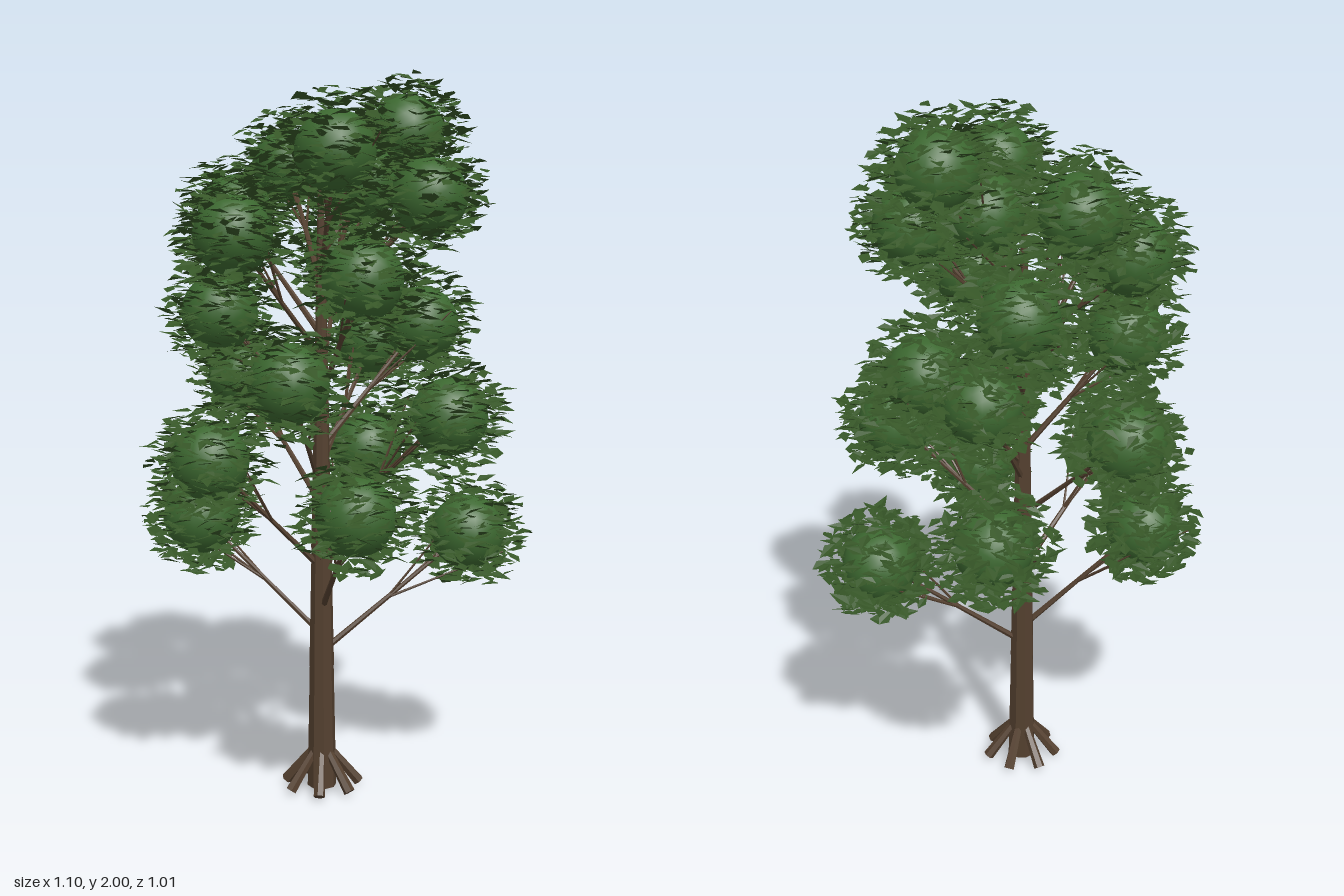
import * as THREE from 'three';

let seed = 7;
const rand = () => {
  seed = (seed * 1664525 + 1013904223) % 4294967296;
  return seed / 4294967296;
};
const spread = (a) => (rand() * 2 - 1) * a;
const V = (x, y, z) => new THREE.Vector3(x, y, z);

const bark = new THREE.MeshStandardMaterial({ color: 0x54402f, flatShading: true });
const leafGreen = new THREE.MeshStandardMaterial({ color: 0x365627, side: THREE.DoubleSide });
const coreGreen = new THREE.MeshStandardMaterial({ color: 0x3c6830 });

const TRUNK_X = -0.04, TRUNK_Z = 0.01;

// Centre of each leaf ball: x, y, z
const CLUSTERS = [
  [0.375, 0.73, 0.01], [-0.365, 0.78, -0.09], [0.0, 0.85, 0.33],
  [0.15, 0.92, -0.33], [-0.355, 0.97, 0.13], [0.28, 1.08, 0.17],
  [-0.22, 1.15, -0.3], [-0.17, 1.19, 0.32], [0.14, 1.26, -0.2],
  [0.26, 1.31, -0.09], [-0.31, 1.35, -0.05], [0.02, 1.45, 0.31],
  [0.06, 1.5, -0.26], [-0.29, 1.56, 0.14], [-0.25, 1.62, -0.21],
  [0.24, 1.66, 0.08], [0.07, 1.7, 0.0], [-0.09, 1.75, -0.27],
  [-0.04, 1.77, 0.25], [0.21, 1.835, -0.07]
];

// Tapered stick between two points
function limb(name, a, b, r0, r1, sides = 6) {
  const dir = b.clone().sub(a);
  const mesh = new THREE.Mesh(new THREE.CylinderGeometry(r1, r0, dir.length(), sides), bark);
  mesh.position.copy(a).add(b).multiplyScalar(0.5);
  mesh.quaternion.setFromUnitVectors(V(0, 1, 0), dir.normalize());
  mesh.name = name;
  return mesh;
}

// Loose shell of small, nearly level, pointed leaves
function leafShell(count) {
  const pos = [];
  const m = new THREE.Matrix4(), e = new THREE.Euler();
  for (let i = 0; i < count; i++) {
    const u = 1 - (2 * (i + 0.5)) / count;
    const a = i * 2.39996 + spread(0.3);
    const r = 0.085 + 0.08 * rand();
    const h = Math.sqrt(1 - u * u) * r;
    e.set(spread(0.4), rand() * Math.PI * 2, spread(0.4), 'YXZ');
    m.makeRotationFromEuler(e).setPosition(Math.cos(a) * h, u * r, Math.sin(a) * h);
    const s = 0.9 + 0.4 * rand();
    const [base, left, tip, right] = [
      V(0, 0, -0.022), V(-0.015, 0.003, -0.003), V(0, 0, 0.03), V(0.015, 0.003, -0.003)
    ].map((p) => p.multiplyScalar(s).applyMatrix4(m));
    for (const p of [base, left, tip, base, tip, right]) pos.push(p.x, p.y, p.z);
  }
  const geo = new THREE.BufferGeometry();
  geo.setAttribute('position', new THREE.Float32BufferAttribute(pos, 3));
  geo.computeVertexNormals();
  return geo;
}

export function createModel() {
  seed = 7;
  const tree = new THREE.Group();
  tree.name = 'tree';

  // Trunk in stacked tapered sections
  const trunk = new THREE.Group();
  trunk.name = 'trunk';
  const rings = [[0.01, 0.041], [0.36, 0.035], [0.7, 0.029], [1.05, 0.022], [1.4, 0.015], [1.72, 0.008]];
  for (let i = 0; i < rings.length - 1; i++) {
    const [y0, r0] = rings[i], [y1, r1] = rings[i + 1];
    trunk.add(limb('trunkSection', V(TRUNK_X, y0, TRUNK_Z), V(TRUNK_X, y1, TRUNK_Z), r0, r1 - 0.001, 8));
  }
  tree.add(trunk);

  // Splayed roots
  const roots = new THREE.Group();
  roots.name = 'roots';
  for (let i = 0; i < 7; i++) {
    const a = (i / 7) * Math.PI * 2;
    const c = Math.cos(a), s = Math.sin(a);
    roots.add(limb('root', V(TRUNK_X + c * 0.02, 0.12, TRUNK_Z + s * 0.02),
      V(TRUNK_X + c * 0.105, 0.014, TRUNK_Z + s * 0.105), 0.011, 0.016));
  }
  tree.add(roots);

  // Branches, twigs and leaf balls
  const branches = new THREE.Group();
  branches.name = 'branches';
  const crown = new THREE.Group();
  crown.name = 'crown';
  const coreGeo = new THREE.IcosahedronGeometry(0.105, 3);
  for (const [x, y, z] of CLUSTERS) {
    const centre = V(x, y, z);
    const start = V(TRUNK_X, y - 0.33, TRUNK_Z);
    branches.add(limb('branch', start, centre, 0.009, 0.004));
    const fork = start.clone().lerp(centre, 0.45);
    for (let k = 0; k < 3; k++) {
      const end = centre.clone().add(V(spread(0.1), spread(0.05), spread(0.1)));
      branches.add(limb('twig', fork, end, 0.004, 0.002, 5));
    }

    const ball = new THREE.Group();
    ball.name = 'leafBall';
    ball.position.copy(centre);
    const core = new THREE.Mesh(coreGeo, coreGreen);
    core.name = 'foliageCore';
    const leaves = new THREE.Mesh(leafShell(440), leafGreen);
    leaves.name = 'leaves';
    ball.add(core, leaves);
    crown.add(ball);
  }
  tree.add(branches, crown);
  return tree;
}
